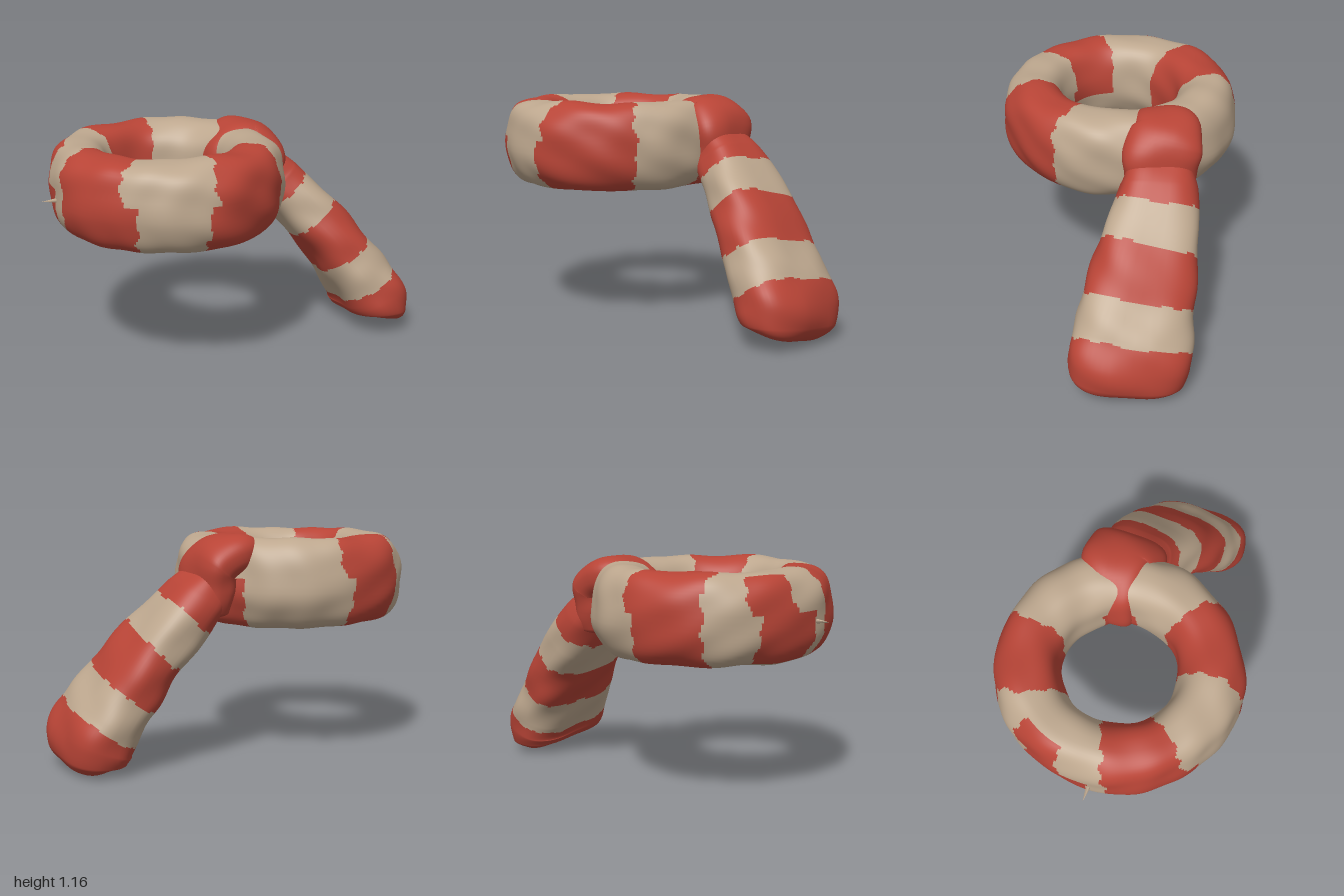
import * as THREE from 'three';

const red = new THREE.MeshStandardMaterial({ color: 0xb84436 });
red.name = 'red wool';
const beige = new THREE.MeshStandardMaterial({ color: 0xbda78e });
beige.name = 'beige wool';

// Soft cloth lumps as a function of position
const lump = (p) =>
  Math.sin(p.x * 17 + 1.3 + 2 * Math.sin(p.y * 9)) * Math.sin(p.z * 19 + 0.7 + p.x * 5) * 0.6 +
  Math.sin(p.y * 31 + p.x * 11 - p.z * 13) * 0.4;

// Ragged edge between stripes, by angle around the cross-section
const ragged = (a) => Math.sin(a * 11) * 0.5 + Math.sin(a * 4 + 2) * 0.5;

// Rounded-square cross-section
const squarish = (t, power) => Math.sign(t) * Math.pow(Math.abs(t), power);

// Skin over loops of points; isRed(u, a) picks the colour of each quad
function skin(name, rows, cols, closed, point, isRed) {
  const pos = [];
  const count = closed ? rows : rows + 1;
  for (let i = 0; i < count; i++)
    for (let j = 0; j < cols; j++) pos.push(...point(i / rows, (j / cols) * Math.PI * 2).toArray());
  const reds = [], beiges = [];
  for (let i = 0; i < rows; i++)
    for (let j = 0; j < cols; j++) {
      const i2 = (i + 1) % count, j2 = (j + 1) % cols;
      const a = i * cols + j, b = i * cols + j2, c = i2 * cols + j2, d = i2 * cols + j;
      const target = isRed((i + 0.5) / rows, ((j + 0.5) / cols) * Math.PI * 2) ? reds : beiges;
      target.push(a, b, c, a, c, d);
    }
  const geo = new THREE.BufferGeometry();
  geo.setAttribute('position', new THREE.Float32BufferAttribute(pos, 3));
  geo.setIndex([...reds, ...beiges]);
  geo.addGroup(0, reds.length, 0);
  geo.addGroup(reds.length, beiges.length, 1);
  geo.computeVertexNormals();
  const mesh = new THREE.Mesh(geo, [red, beige]);
  mesh.name = name;
  return mesh;
}

// Flat strap swept along stations of [x, y, z, half width, half thickness]
function strap(name, stations, rows, isRedAt) {
  const path = new THREE.CatmullRomCurve3(stations.map((s) => new THREE.Vector3(s[0], s[1], s[2])));
  const size = new THREE.CatmullRomCurve3(stations.map((s) => new THREE.Vector3(s[3], s[4], 0)));
  const point = (u, a) => {
    const c = path.getPoint(u), s = size.getPoint(u), t = path.getTangent(u);
    const w = new THREE.Vector3(0, 0, 1).addScaledVector(t, -t.z).normalize();
    const n = new THREE.Vector3().crossVectors(t, w);
    const p = c.clone()
      .addScaledVector(w, s.x * squarish(Math.cos(a), 0.68))
      .addScaledVector(n, s.y * squarish(Math.sin(a), 0.75));
    const out = p.clone().sub(c).normalize();
    return p.addScaledVector(out, lump(p) * Math.min(0.009, s.y * 0.1));
  };
  return skin(name, rows, 56, false, point, (u, a) => isRedAt(path.getPoint(u).y + ragged(a) * 0.008));
}

// Neck loop with stripes that shift between its top, underside and outside
function makeLoop() {
  const point = (u, a) => {
    const th = u * Math.PI * 2;
    const swell = 1 + 0.02 * Math.sin(th * 5);
    const r = 0.452 + 0.162 * swell * squarish(Math.cos(a), 0.82);
    const p = new THREE.Vector3(
      -0.34 + 0.965 * r * Math.cos(th), 0.912 + 0.222 * squarish(Math.sin(a), 0.82), r * Math.sin(th));
    const k = lump(p) * 0.009;
    p.x += k * Math.cos(a) * Math.cos(th);
    p.z += k * Math.cos(a) * Math.sin(th);
    p.y += k * Math.sin(a);
    return p;
  };
  const between = (x, lo, hi) => x > lo && x < hi;
  return skin('neckLoop', 320, 64, true, point, (u, a) => {
    const deg = u * 360 + ragged(a) * 2;
    const out = Math.cos(a), up = Math.sin(a);
    const low = up < 0.1, outer = out > 0.35;
    const beigeUnderside = up < -0.1 && out < -0.45;
    return between(deg, 36 + 2 * out, (low ? 87 : 83) + 3 * out) ||
      (between(deg, low ? 124 : 131, 172 - 4 * out) && !beigeUnderside) ||
      between(deg, 228 + 9 * out, low ? 271 : 276) ||
      (outer && between(deg, low ? 177 : 191, low ? 210 : 215)) ||
      (low && between(deg, 326, 358));
  });
}

export function createModel() {
  const group = new THREE.Group();
  group.name = 'stripedScarf';
  group.add(makeLoop());

  // Red fold passing over the loop, narrow inside and wide outside
  group.add(strap('knot', [
    [-0.03, 0.78, -0.13, 0, 0],
    [-0.03, 0.82, -0.13, 0.09, 0.06],
    [-0.01, 0.96, -0.13, 0.1, 0.085],
    [0.06, 1.04, -0.155, 0.135, 0.1],
    [0.15, 1.05, -0.185, 0.18, 0.105],
    [0.23, 1.0, -0.165, 0.195, 0.105],
    [0.245, 0.89, -0.155, 0.18, 0.1],
    [0.25, 0.77, -0.15, 0.16, 0.08],
    [0.25, 0.72, -0.15, 0, 0],
  ], 72, () => true));

  // Hanging end, widening towards the hem
  group.add(strap('tail', [
    [0.2, 0.98, -0.15, 0, 0],
    [0.23, 0.94, -0.15, 0.14, 0.09],
    [0.31, 0.84, -0.145, 0.19, 0.13],
    [0.43, 0.7, -0.11, 0.225, 0.14],
    [0.56, 0.55, -0.06, 0.255, 0.147],
    [0.67, 0.39, -0.015, 0.28, 0.153],
    [0.76, 0.26, 0.015, 0.295, 0.165],
    [0.815, 0.16, 0.035, 0.3, 0.172],
    [0.83, 0.08, 0.045, 0.28, 0.155],
    [0.825, 0.04, 0.05, 0.2, 0.1],
    [0.82, 0.025, 0.053, 0, 0],
  ], 160, (y) => y > 0.77 || (y < 0.61 && y > 0.405) || y < 0.235));

  // Loose thread on the side of the loop
  const thread = new THREE.Mesh(new THREE.ConeGeometry(0.015, 0.09, 5), beige);
  thread.name = 'looseThread';
  thread.rotation.z = Math.PI / 2;
  thread.position.set(-0.955, 0.89, 0.05);
  group.add(thread);
  return group;
}
